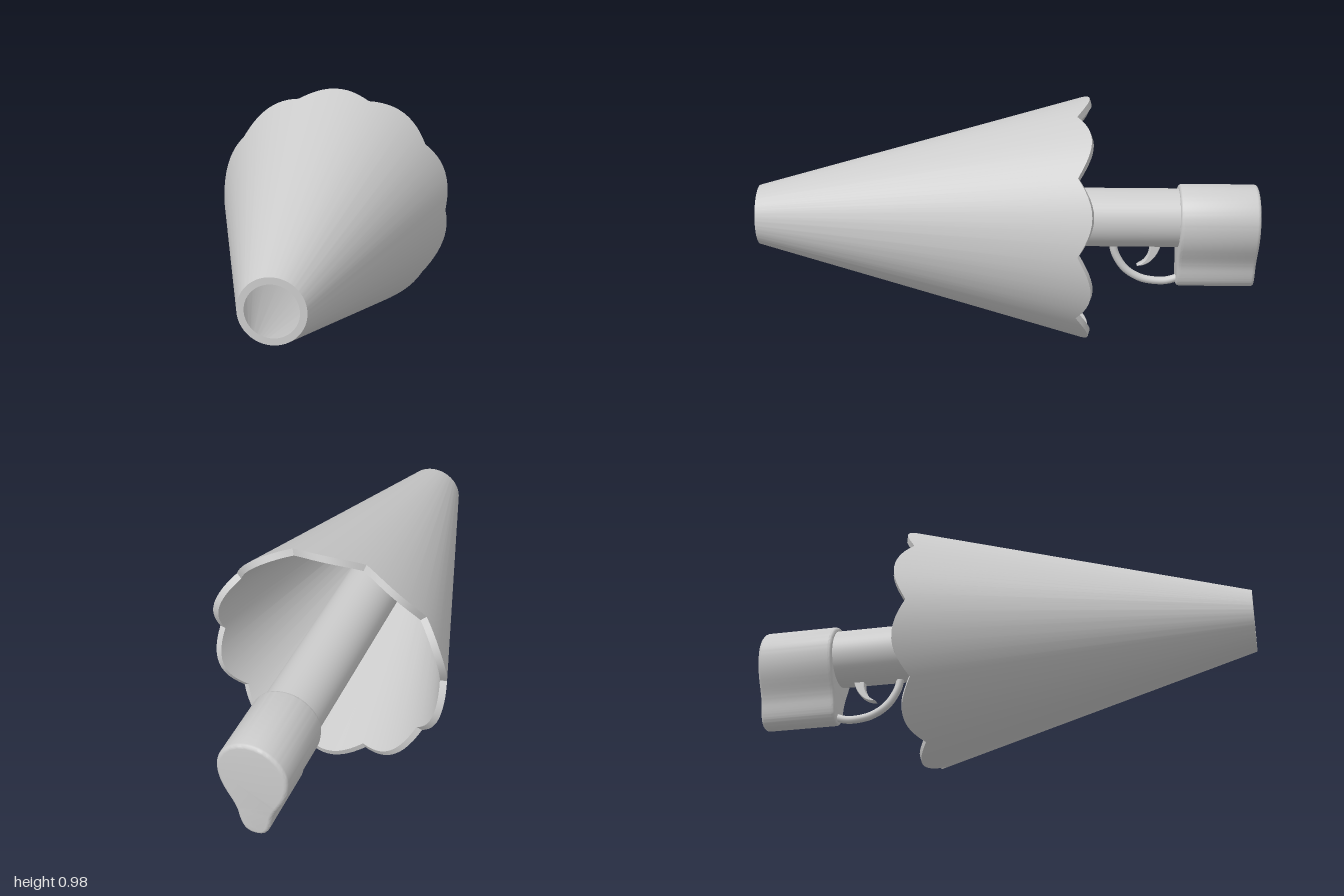
import * as THREE from 'three';
import { toCreasedNormals } from 'three/addons/utils/BufferGeometryUtils.js';

const AXIS_Y = 0.488;
const material = new THREE.MeshStandardMaterial({ color: 0xcccccc, side: THREE.DoubleSide });

function addMesh(parent, name, geometry) {
  const mesh = new THREE.Mesh(geometry, material);
  mesh.name = name;
  parent.add(mesh);
  return mesh;
}

// Turned part along z: profile points are [radius, z]
function turned(profile, segments) {
  const points = profile.map(([r, z]) => new THREE.Vector2(r, z));
  return new THREE.LatheGeometry(points, segments).rotateX(Math.PI / 2);
}

// Hollow cone whose wide back rim is cut into ten scallops
function scallopedCone() {
  const slope = 0.278;
  const profile = [[0.474, -0.27], [0.12, 1], [0.095, 1], [0.448, -0.278], [0.474, -0.27]];
  const geometry = turned(profile, 120);
  const p = geometry.attributes.position;
  for (let i = 0; i < p.count; i++) {
    if (p.getZ(i) > 0) continue;
    const r = Math.hypot(p.getX(i), p.getY(i));
    const angle = Math.atan2(p.getX(i), p.getY(i));
    const drop = 0.052 * Math.abs(Math.cos(5 * angle));
    const k = (r + slope * drop) / r;
    p.setXYZ(i, p.getX(i) * k, p.getY(i) * k, p.getZ(i) - drop);
  }
  return toCreasedNormals(geometry, 0.6);
}

// Handle block: round top running down into a narrow rounded grip
function handleBlock() {
  const bevel = 0.014;
  const s = new THREE.Shape();
  s.moveTo(0, -0.274);
  s.bezierCurveTo(0.035, -0.274, 0.042, -0.25, 0.05, -0.21);
  s.bezierCurveTo(0.062, -0.13, 0.122, -0.1, 0.122, 0);
  s.absarc(0, 0, 0.122, 0, Math.PI, false);
  s.bezierCurveTo(-0.122, -0.1, -0.062, -0.13, -0.05, -0.21);
  s.bezierCurveTo(-0.042, -0.25, -0.035, -0.274, 0, -0.274);
  const geometry = new THREE.ExtrudeGeometry(s, {
    depth: 0.315 - 2 * bevel, bevelEnabled: true, bevelSize: bevel,
    bevelThickness: bevel, bevelSegments: 3, curveSegments: 24,
  });
  geometry.translate(0, 0, -1 + bevel);
  return toCreasedNormals(geometry, 0.6);
}

// Tapered trigger outline in the side plane, given a small width
function triggerGeometry() {
  const width = 0.024;
  const s = new THREE.Shape();
  s.moveTo(-0.58, -0.1);
  s.quadraticCurveTo(-0.585, -0.18, -0.53, -0.202);
  s.quadraticCurveTo(-0.6, -0.195, -0.622, -0.1);
  s.closePath();
  const geometry = new THREE.ExtrudeGeometry(s, {
    depth: width, bevelEnabled: true, bevelSize: 0.003, bevelThickness: 0.005,
    bevelSegments: 2, curveSegments: 12,
  });
  geometry.translate(0, 0, -width / 2).rotateY(-Math.PI / 2);
  return toCreasedNormals(geometry, 0.6);
}

export function createModel() {
  const model = new THREE.Group();
  model.name = 'model';
  const body = new THREE.Group();
  body.name = 'body';
  body.position.y = AXIS_Y;
  model.add(body);

  addMesh(body, 'scallopedCone', scallopedCone());

  // Shaft with a tapered, blunt nose inside the cone
  const shaft = turned([[0, -0.75], [0.118, -0.75], [0.118, 0.2], [0.042, 0.55], [0, 0.55]], 48);
  addMesh(body, 'shaft', toCreasedNormals(shaft, 0.2));

  addMesh(body, 'handleBlock', handleBlock());

  // Guard loop from the shaft down and back to the handle
  const guardPath = new THREE.CatmullRomCurve3([
    [-0.425, -0.1], [-0.438, -0.155], [-0.48, -0.22], [-0.545, -0.26],
    [-0.62, -0.272], [-0.66, -0.268], [-0.71, -0.25],
  ].map(([z, y]) => new THREE.Vector3(0, y, z)));
  addMesh(body, 'triggerGuard', new THREE.TubeGeometry(guardPath, 40, 0.016, 12));

  addMesh(body, 'trigger', triggerGeometry());
  return model;
}
